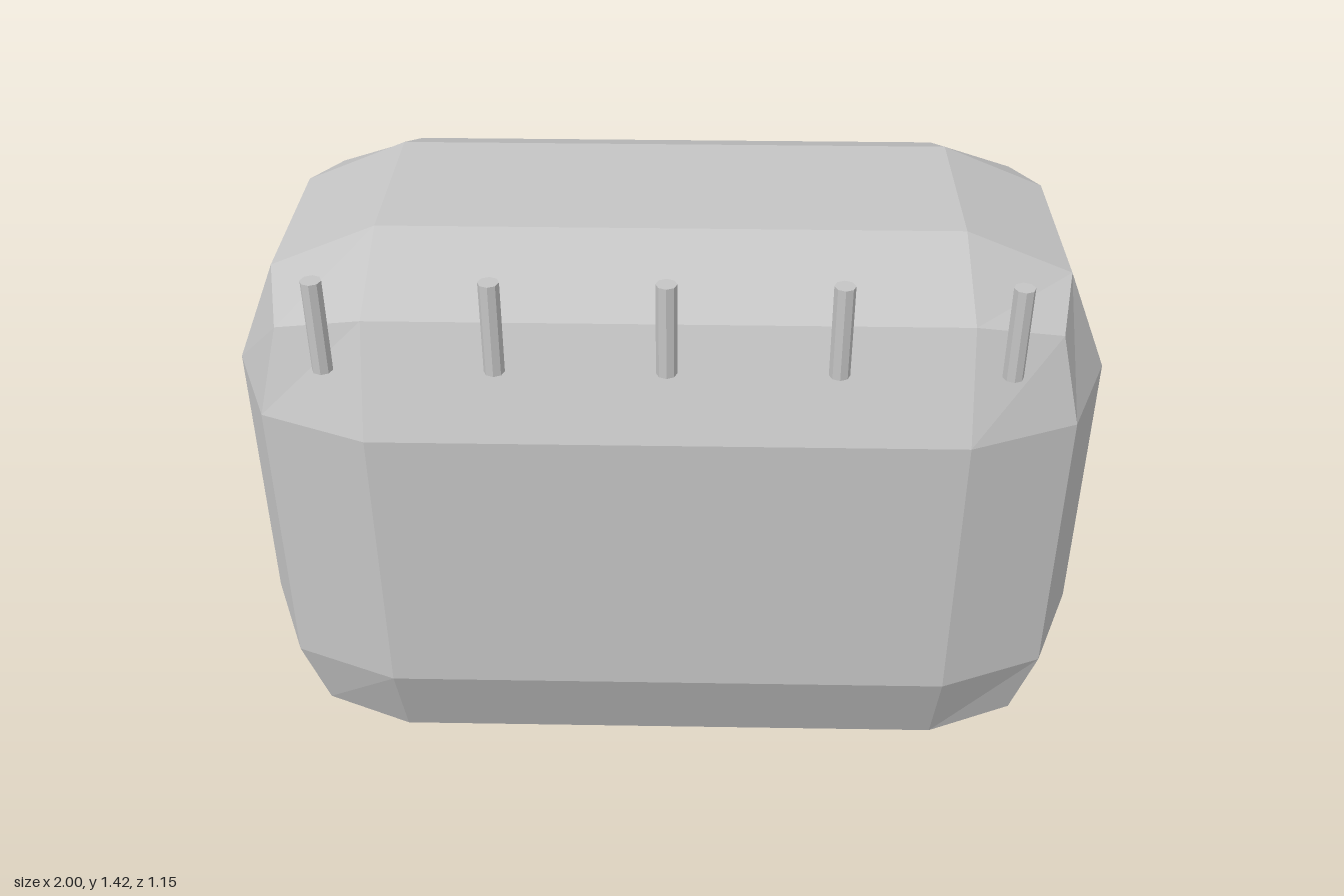
import * as THREE from 'three';
import { RoundedBoxGeometry } from 'three/addons/geometries/RoundedBoxGeometry.js';

export function createModel() {
  const model = new THREE.Group();
  const grey = new THREE.MeshStandardMaterial({ color: 0xc4c4c4, flatShading: true });
  grey.name = 'light grey';

  const add = (name, geometry, x, y, z) => {
    const mesh = new THREE.Mesh(geometry, grey);
    mesh.name = name;
    mesh.position.set(x, y, z);
    model.add(mesh);
  };

  // Faceted body: one chamfer step along each edge
  add('body', new RoundedBoxGeometry(2, 1.38, 1.126, 1, 0.345), 0, 0.69, 0.014);

  // Thin panel on the back
  add('backPanel', new RoundedBoxGeometry(1.346, 0.76, 0.045, 1, 0.018), 0, 0.8, -0.553);

  // Row of five upright pins along the upper front
  const pin = new THREE.CylinderGeometry(0.0225, 0.0225, 0.215, 8);
  for (let i = -2; i <= 2; i++) add(`pin${i + 3}`, pin, i * 0.364, 1.3125, 0.552);

  return model;
}
